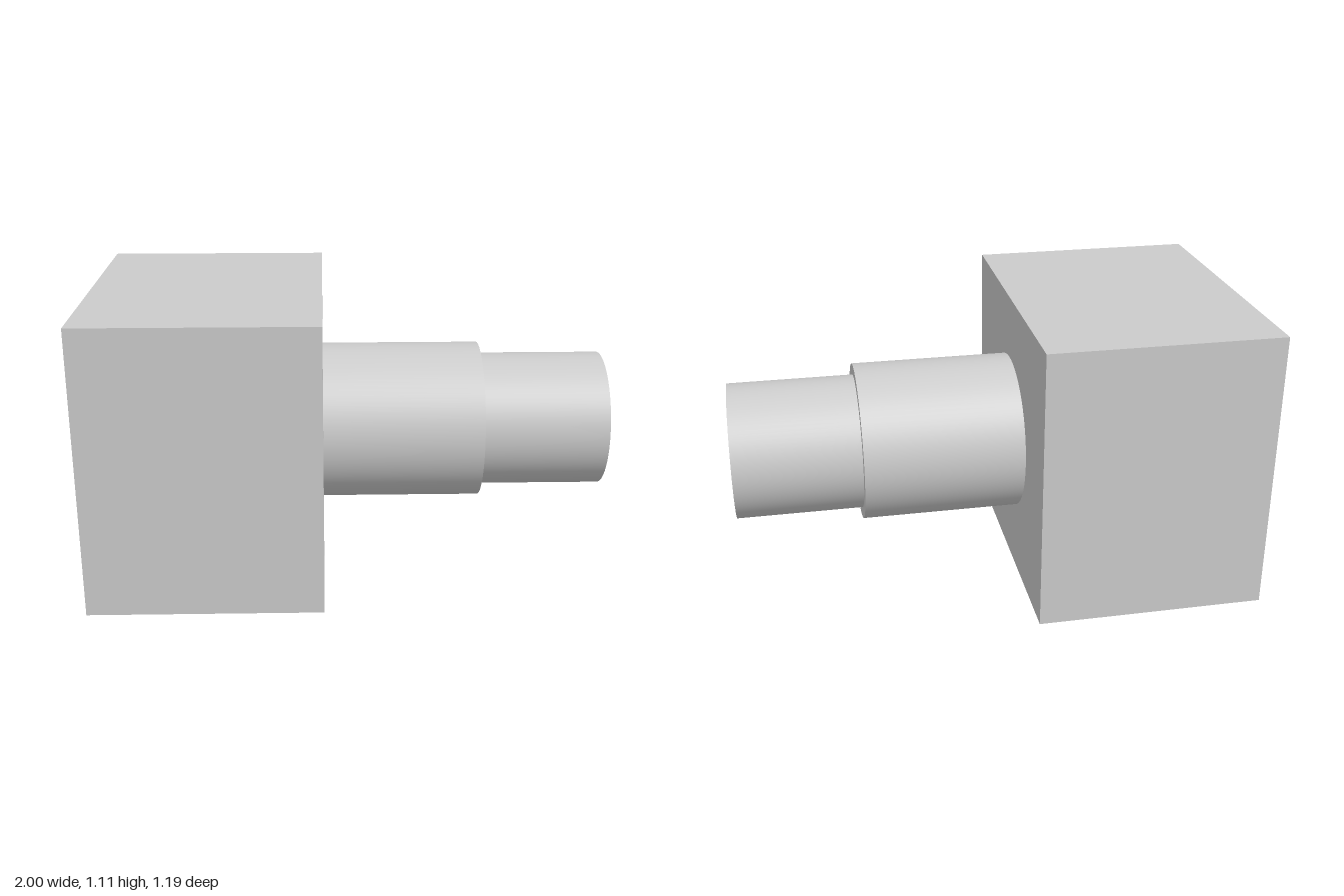
import * as THREE from 'three';

const AXIS_Y = 0.555; // height of the shaft's centre line

export function createModel() {
  const group = new THREE.Group();
  const grey = new THREE.MeshStandardMaterial({ color: 0xcccccc });
  grey.name = 'light grey';

  const add = (name, geometry, x) => {
    const mesh = new THREE.Mesh(geometry, grey);
    mesh.name = name;
    mesh.position.set(x, AXIS_Y, 0);
    group.add(mesh);
  };

  // Cylinder lying along x between two x positions
  const addRod = (name, radius, x0, x1) => {
    const geometry = new THREE.CylinderGeometry(radius, radius, x1 - x0, 96);
    geometry.rotateZ(-Math.PI / 2);
    add(name, geometry, (x0 + x1) / 2);
  };

  // Block head
  add('block', new THREE.BoxGeometry(0.89, 1.11, 1.186), -0.555);

  // Stepped shaft
  addRod('shaftCollar', 0.309, -0.11, 0.51);
  addRod('shaftTip', 0.265, 0.51, 1);

  return group;
}
